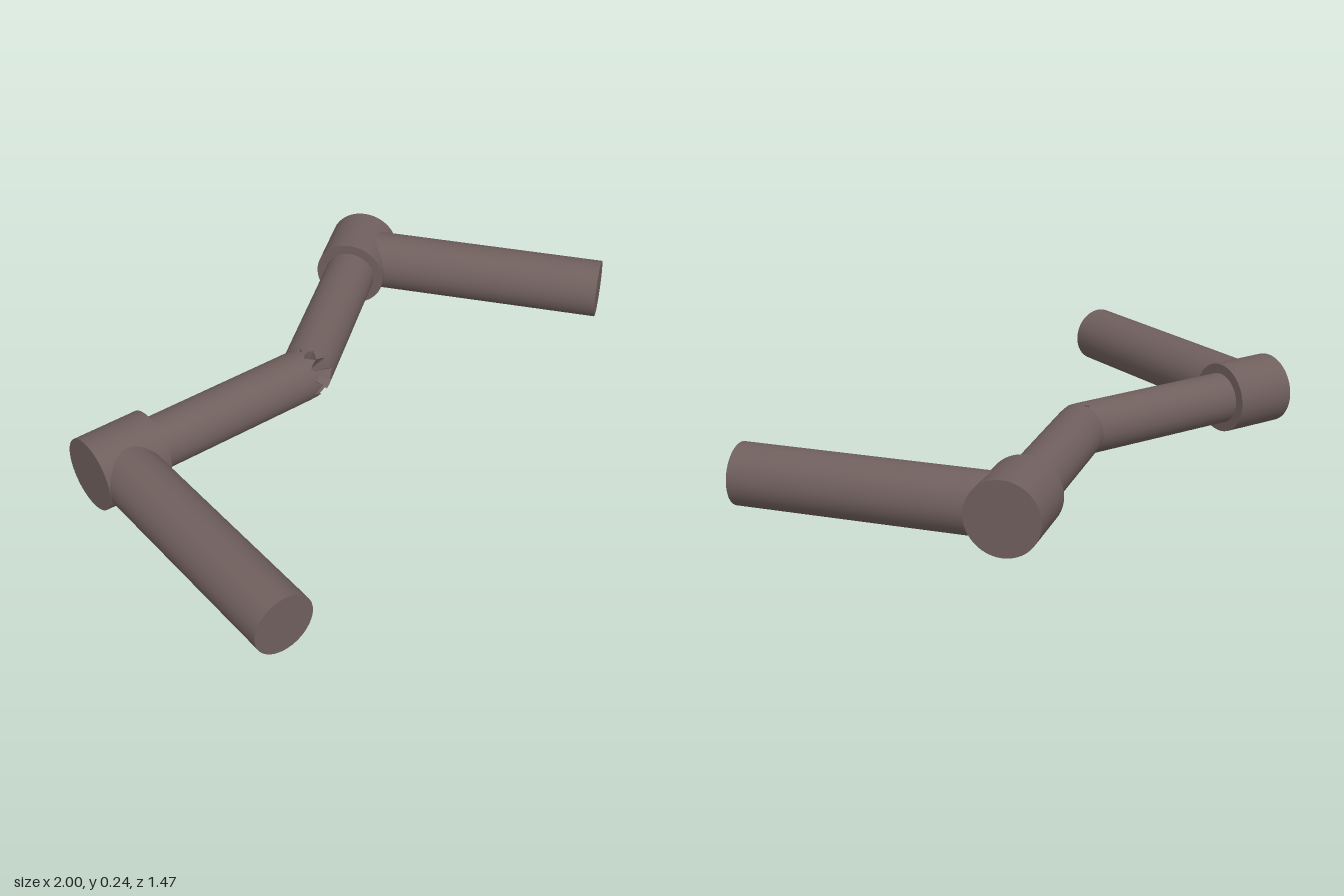
import * as THREE from 'three';
import { toCreasedNormals } from 'three/addons/utils/BufferGeometryUtils.js';

const material = new THREE.MeshStandardMaterial({ color: 0x6f5f5d });
const SEGMENTS = 48;

function addMesh(parent, name, geometry) {
  const mesh = new THREE.Mesh(geometry, material);
  mesh.name = name;
  parent.add(mesh);
  return mesh;
}

// Rod along x whose end nearest x = 0 is snapped into uneven teeth
function brokenRod(side, radius, inner, outer) {
  const length = outer - inner;
  const g = new THREE.CylinderGeometry(radius, radius, length, SEGMENTS);
  g.rotateZ(Math.PI / 2);
  g.translate(side * (inner + length / 2), 0, 0);
  const p = g.attributes.position;
  for (let i = 0; i < p.count; i++) {
    const y = p.getY(i), z = p.getZ(i);
    if (Math.abs(p.getX(i)) > inner + 0.01 || Math.hypot(y, z) < radius / 2) continue;
    const step = Math.round((Math.atan2(y, z) / (2 * Math.PI)) * SEGMENTS) + SEGMENTS;
    const tooth = [-1, 0, 1, 0][step % 4] * (0.016 + 0.004 * Math.sin(step * 1.7));
    p.setX(i, side * (inner + tooth));
  }
  return toCreasedNormals(g, 0.6);
}

// One half: snapped crossbar, collar and forward-pointing handle
function makeHalf(name, side) {
  const half = new THREE.Group();
  half.name = name;

  addMesh(half, 'brokenCrossbar', brokenRod(side, 0.087, 0.02, 0.7));

  const collar = addMesh(half, 'collar', new THREE.CylinderGeometry(0.12, 0.12, 0.22, SEGMENTS));
  collar.rotation.z = Math.PI / 2;
  collar.position.x = side * 0.72;

  const handle = addMesh(half, 'handle', new THREE.CylinderGeometry(0.099, 0.099, 0.875, SEGMENTS));
  handle.rotation.x = Math.PI / 2;
  handle.position.set(side * 0.73, 0, 0.4375);
  return half;
}

export function createModel() {
  const model = new THREE.Group();
  model.name = 'brokenCrank';

  const right = makeHalf('rightHalf', -1);
  right.position.set(-0.17, 0.121, -0.14);

  // The left half is bent back at the break
  const left = makeHalf('leftHalf', 1);
  left.position.set(-0.195, 0.121, -0.13);
  left.rotation.y = THREE.MathUtils.degToRad(38.1);

  model.add(right, left);
  return model;
}
